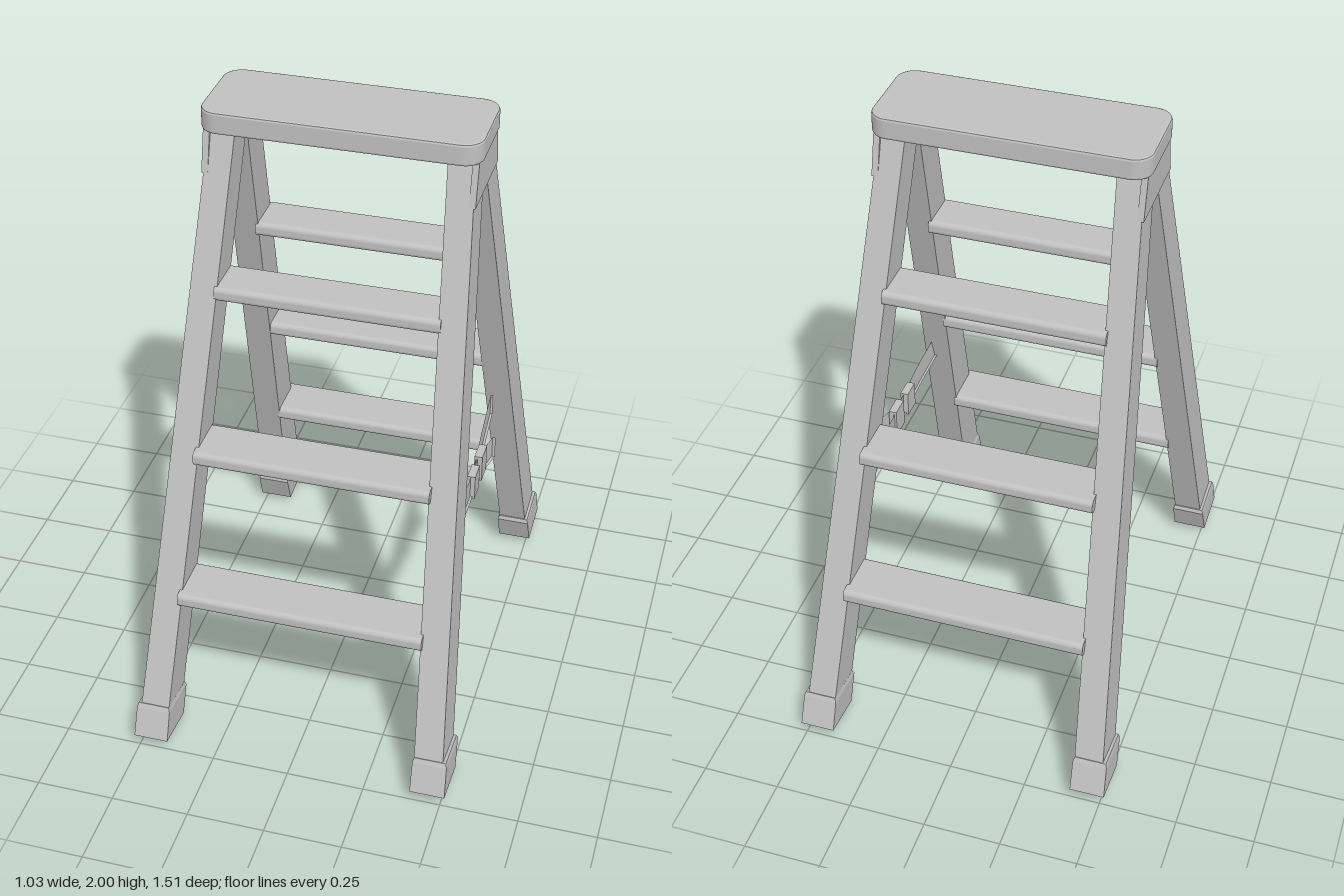
import * as THREE from 'three';

const grey = new THREE.MeshStandardMaterial({ color: 0xc0c0c0 });
grey.name = 'light grey';

function add(parent, name, geometry) {
  const mesh = new THREE.Mesh(geometry, grey);
  mesh.name = name;
  parent.add(mesh);
  return mesh;
}

// Closed flat-shaded skin over a row of four-cornered cross-sections.
function loft(rings, flip = false) {
  const pos = [];
  const quad = (a, b, c, d) => {
    const tris = flip ? [a, c, b, a, d, c] : [a, b, c, a, c, d];
    tris.forEach((p) => pos.push(...p));
  };
  for (let i = 0; i < rings.length - 1; i++) {
    for (let j = 0; j < 4; j++) {
      const k = (j + 1) % 4;
      quad(rings[i][j], rings[i][k], rings[i + 1][k], rings[i + 1][j]);
    }
  }
  const end = rings[rings.length - 1];
  quad(rings[0][3], rings[0][2], rings[0][1], rings[0][0]);
  quad(end[0], end[1], end[2], end[3]);
  const g = new THREE.BufferGeometry();
  g.setAttribute('position', new THREE.Float32BufferAttribute(pos, 3));
  g.computeVertexNormals();
  return g;
}

// Leg section: x range, z range, and heights of its inner and outer edges.
const section = (sx, sz) => ([x0, x1, z0, z1, yIn, yOut]) => [
  [sx * x0, yIn, sz * z0], [sx * x0, yOut, sz * z1],
  [sx * x1, yOut, sz * z1], [sx * x1, yIn, sz * z0],
];

const legRings = [
  [0.41, 0.503, 0.594, 0.745, 0.06, 0.06],
  [0.32, 0.402, -0.013, 0.111, 1.93, 1.93],
];
const footRings = [
  [0.428, 0.492, 0.63, 0.728, 0, 0.014],
  [0.403, 0.515, 0.6, 0.757, 0.022, 0.04],
  [0.402, 0.512, 0.563, 0.724, 0.118, 0.136],
  [0.406, 0.508, 0.567, 0.717, 0.132, 0.15],
];

// Tread with rounded long edges, running along x.
function treadGeometry(width, depth, height) {
  const r = 0.016, w = depth / 2, h = height / 2;
  const s = roundedRect(w, h, r);
  const g = new THREE.ExtrudeGeometry(s, { depth: width, bevelEnabled: false, curveSegments: 4 });
  return g.translate(0, 0, -width / 2).rotateY(Math.PI / 2);
}

function roundedRect(w, h, r) {
  const s = new THREE.Shape();
  s.absarc(w - r, h - r, r, 0, Math.PI / 2);
  s.absarc(-w + r, h - r, r, Math.PI / 2, Math.PI);
  s.absarc(-w + r, -h + r, r, Math.PI, Math.PI * 1.5);
  s.absarc(w - r, -h + r, r, Math.PI * 1.5, Math.PI * 2);
  s.closePath();
  return s;
}

// Upright band through points [x, y, z].
function band(points, height, thick) {
  return loft(points.map(([x, y, z]) => {
    const h = height / 2, t = thick / 2;
    return [[x - t, y - h, z], [x - t, y + h, z], [x + t, y + h, z], [x + t, y - h, z]];
  }));
}

export function createModel() {
  const model = new THREE.Group();
  model.name = 'stepLadder';

  // Top platform
  const bevel = 0.008;
  const top = new THREE.ExtrudeGeometry(roundedRect(0.425 - bevel, 0.155 - bevel, 0.052), {
    depth: 0.07 - 2 * bevel, bevelThickness: bevel, bevelSize: bevel, bevelSegments: 2, curveSegments: 6,
  });
  add(model, 'topPlatform', top.rotateX(-Math.PI / 2).translate(0, 1.93 + bevel, 0));

  // Legs and rubber feet
  for (const sx of [-1, 1]) {
    for (const sz of [-1, 1]) {
      const ring = section(sx, sz);
      const flip = sx * sz < 0;
      add(model, 'leg', loft(legRings.map(ring), flip));
      add(model, 'foot', loft(footRings.map(ring), flip));
    }

    // Side bracket holding the two leg pairs
    const plate = new THREE.Shape([[-0.155, 1.8], [0.155, 1.8], [0.122, 1.935], [-0.122, 1.935]]
      .map(([z, y]) => new THREE.Vector2(z, y)));
    const bracket = new THREE.ExtrudeGeometry(plate, { depth: 0.02, bevelEnabled: false });
    bracket.rotateY(Math.PI / 2).translate(sx > 0 ? 0.395 : -0.415, 0, 0);
    add(model, 'sideBracket', bracket);
  }

  // Treads: height, front z range, back z range
  const treads = [
    [0.517, 0.437, 0.613, -0.62, -0.445],
    [0.97, 0.293, 0.466, -0.472, -0.302],
    [1.457, 0.125, 0.277, -0.287, -0.13],
  ];
  for (const [y, f0, f1, b0, b1] of treads) {
    const width = 2 * (0.412 - 0.048 * (y - 0.06)) + 0.01;
    for (const [z0, z1, name] of [[f0, f1, 'frontTread'], [b0, b1, 'backTread']]) {
      add(model, name, treadGeometry(width, z1 - z0, 0.047)).position.set(0, y, (z0 + z1) / 2);
    }
  }

  // Sagging safety strap on the left side
  const strap = new THREE.Group();
  strap.name = 'safetyStrap';
  model.add(strap);
  const path = new THREE.CatmullRomCurve3([
    [0.43, 0.808, 0.37], [0.436, 0.788, 0.2], [0.43, 0.78, 0.05],
    [0.417, 0.783, -0.1], [0.405, 0.805, -0.305],
  ].map((p) => new THREE.Vector3(...p)));
  add(strap, 'strapBand', band(path.getPoints(20).map((p) => p.toArray()).reverse(), 0.076, 0.008));
  add(strap, 'strapTail', band([[0.457, 0.783, -0.1], [0.44, 0.78, -0.03], [0.434, 0.78, 0.03]], 0.076, 0.01));
  for (const [z, length, height] of [[0.094, 0.065, 0.085], [-0.012, 0.07, 0.093]]) {
    add(strap, 'buckle', new THREE.BoxGeometry(0.026, height, length)).position.set(0.432, 0.779, z);
  }
  return model;
}
